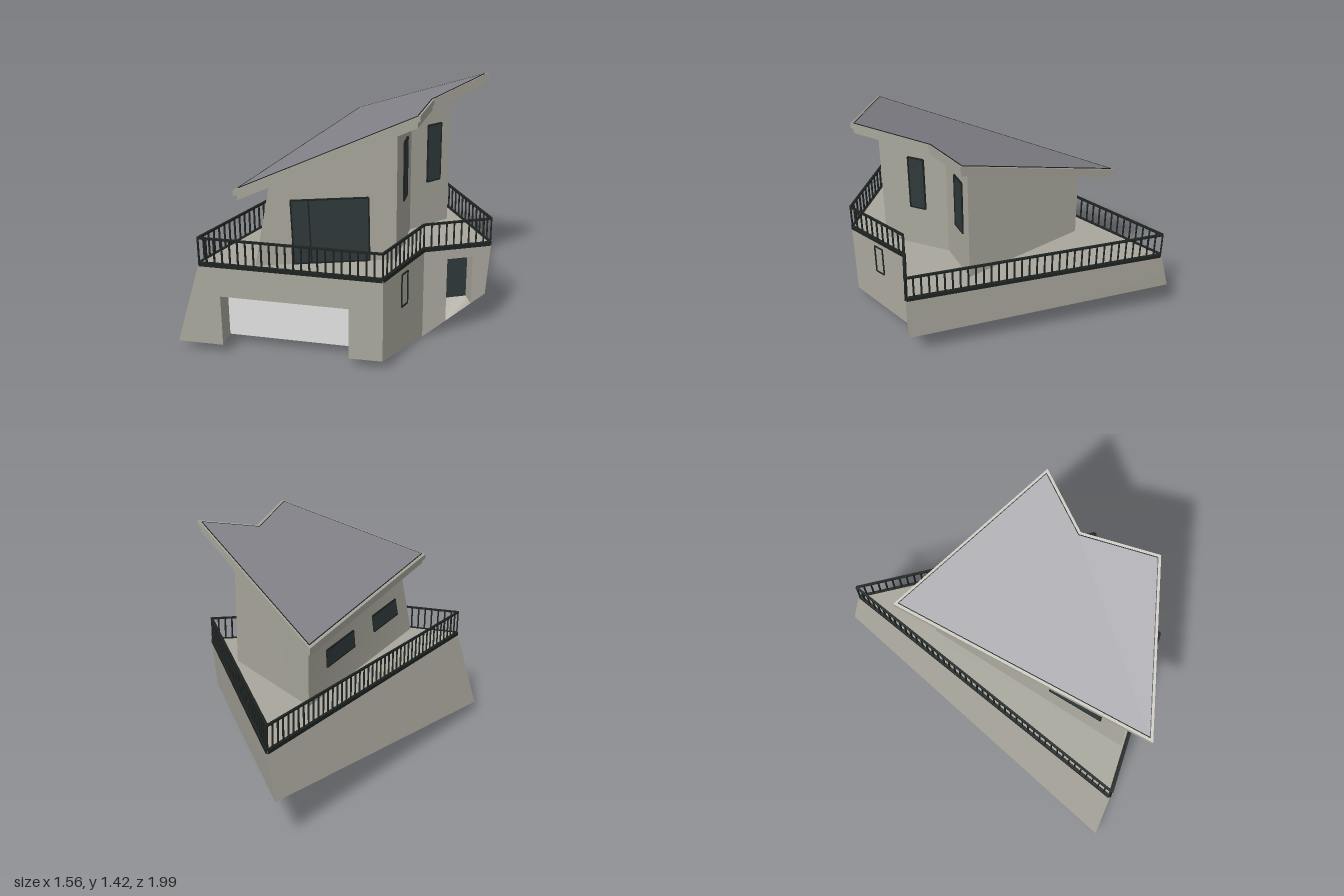
import * as THREE from 'three';
import { mergeGeometries } from 'three/addons/utils/BufferGeometryUtils.js';

const material = (name, color) => {
  const m = new THREE.MeshStandardMaterial({ color, side: THREE.DoubleSide });
  m.name = name;
  return m;
};
const V = (x, y, z) => new THREE.Vector3(x, y, z);
const lerp = THREE.MathUtils.lerp;

// Plan outlines [x, z], from front left round by the right side to the back
const DECK = [[-0.65, 0.905], [0.33, 0.8], [0.44, 0.39], [0.77, 0.2], [-0.16, -0.96]];
const ROOF = [[-0.385, 0.99], [0.465, 0.64], [0.43, 0.2], [0.66, -0.1], [-0.25, -0.62]];
const HOUSE = [[-0.35, 0.85], [0.33, 0.56], [0.3, 0.17], [0.465, -0.04], [-0.165, -0.43]];
const HOUSE_TOP = [[-0.265, 0.815], ...HOUSE.slice(1, 4), [-0.16, -0.43]];
const DECK_Y = 0.545, RAIL_Y = 0.685;
const roofY = (x, z) => 1.128 + 0.445 * x + 0.059 * z;

const inward = (a, b) => {
  const dx = b[0] - a[0], dz = b[1] - a[1], l = Math.hypot(dx, dz);
  return [dz / l, -dx / l];
};

// Outline moved inward by d
function inset(pts, d) {
  return pts.map((p, i) => {
    const m = inward(pts.at(i - 1), p), n = inward(p, pts[(i + 1) % pts.length]);
    const s = d / (1 + m[0] * n[0] + m[1] * n[1]);
    return [p[0] + (m[0] + n[0]) * s, p[1] + (m[1] + n[1]) * s];
  });
}

// Horizontal or sloping slab from a plan outline
function slab(pts, depth, yAt, hole) {
  const toV2 = (p) => new THREE.Vector2(p[0], -p[1]);
  const shape = new THREE.Shape(pts.map(toV2));
  if (hole) shape.holes.push(new THREE.Path(hole.map(toV2)));
  const g = new THREE.ExtrudeGeometry(shape, { depth, bevelEnabled: false });
  g.rotateX(-Math.PI / 2);
  const p = g.attributes.position;
  for (let i = 0; i < p.count; i++) p.setY(i, p.getY(i) + yAt(p.getX(i), p.getZ(i)));
  g.computeVertexNormals();
  return g;
}

// Upright wall on the plan line a-b, drawn as [fraction along, height]
function uprightWall(a, b, outline) {
  const g = new THREE.ShapeGeometry(new THREE.Shape(outline.map((p) => new THREE.Vector2(...p))));
  const p = g.attributes.position;
  for (let i = 0; i < p.count; i++) {
    const k = p.getX(i);
    p.setXYZ(i, lerp(a[0], b[0], k), p.getY(i), lerp(a[1], b[1], k));
  }
  g.computeVertexNormals();
  return g;
}

// Surface patch from a function of (u, v)
function surface(fn, n = 8) {
  const g = new THREE.PlaneGeometry(1, 1, n, n), p = g.attributes.position;
  for (let i = 0; i < p.count; i++) {
    const q = fn(p.getX(i) + 0.5, p.getY(i) + 0.5);
    p.setXYZ(i, q.x, q.y, q.z);
  }
  g.computeVertexNormals();
  return g;
}
const bilinear = (a, b, c, d) => (u, v) => a.clone().lerp(b, u).lerp(d.clone().lerp(c, u), v);
const quad = (a, b, c, d) => surface(bilinear(a, b, c, d), 1);

// Square bar between two points
function bar(a, b, w, h = w) {
  const g = new THREE.BoxGeometry(w, h, a.distanceTo(b));
  g.applyMatrix4(new THREE.Matrix4().lookAt(a, b, V(0, 1, 0)));
  const m = a.clone().add(b).multiplyScalar(0.5);
  return g.translate(m.x, m.y, m.z);
}
const frameBars = (c, w) => mergeGeometries(c.map((p, i) => bar(p, c[(i + 1) % c.length], w)));

export function createModel() {
  const wall = material('concrete', 0xa9a79c);
  const roofing = material('roof grey', 0x87868d);
  const glass = material('dark glass', 0x2f393b);
  const metal = material('black metal', 0x1d2321);
  const doorPaint = material('garage door grey', 0xe0e0e0);

  const model = new THREE.Group();
  model.name = 'house';
  const add = (name, geometry, mat, parent = model) => {
    const m = new THREE.Mesh(geometry, mat);
    m.name = name;
    parent.add(m);
    return m;
  };

  // Lower storey: open-bottomed shell on sloping ground
  const [A, B, C, D, E] = DECK, top = 0.53;
  const footA = V(-0.79, 0.06, 0.92), footD = V(0.75, 0.23, 0.211), footE = V(-0.22, 0.285, -1);
  const up = (p, y) => V(p[0], y, p[1]);
  add('garageWall', uprightWall(A, B, [[-0.143, 0.06], [0.112, 0.06], [0.112, 0.355], [0.816, 0.355],
    [0.816, 0.06], [1, 0.063], [1, top], [0, top]]), wall);
  add('lowerSideWall', uprightWall(B, C, [[0, 0.063], [1, 0], [1, top], [0, top]]), wall);
  add('entranceWall', uprightWall(C, D, [[0, 0], [0.348, 0.085], [0.348, 0.468], [0.727, 0.468],
    [0.727, 0.178], [0.94, 0.23], [1, top], [0, top]]), wall);
  add('lowerBackWall', quad(footD, footE, up(E, top), up(D, top)), wall);
  add('lowerLeftWall', quad(footE, footA, up(A, top), up(E, top)), wall);

  // Recessed openings: jambs, lintel, sill and door
  function recess(name, a, b, k0, k1, y0, y1, yTop, yBack, depth, mat) {
    const n = inward(a, b), g = new THREE.Group();
    const at = (k, y, d) => V(lerp(a[0], b[0], k) + n[0] * d, y, lerp(a[1], b[1], k) + n[1] * d);
    const back = [at(k0, yBack, depth), at(k1, yBack, depth), at(k1, yTop, depth), at(k0, yTop, depth)];
    const front = [at(k0, y0, 0), at(k1, y1, 0), at(k1, yTop, 0), at(k0, yTop, 0)];
    add(name + 'Panel', quad(...back), mat, g);
    add(name + 'LeftJamb', quad(front[0], back[0], back[3], front[3]), wall, g);
    add(name + 'RightJamb', quad(back[1], front[1], front[2], back[2]), wall, g);
    add(name + 'Lintel', quad(front[3], back[3], back[2], front[2]), wall, g);
    if (yBack > y0) add(name + 'Sill', quad(front[0], front[1], back[1], back[0]), wall, g);
    g.name = name;
    model.add(g);
  }
  recess('garageDoor', A, B, 0.112, 0.816, 0.06, 0.06, 0.355, 0.06, 0.12, doorPaint);
  recess('entranceDoor', C, D, 0.348, 0.727, 0.085, 0.178, 0.468, 0.18, 0.09, glass);

  // Narrow window frame on the lower side wall
  const onBC = (k, y) => V(lerp(B[0], C[0], k), y, lerp(B[1], C[1], k));
  add('lowerWindowFrame', frameBars([onBC(0.44, 0.3), onBC(0.585, 0.3), onBC(0.585, 0.49), onBC(0.44, 0.49)], 0.009), metal);

  // Terrace floor, edge trim and railing
  add('terraceFloor', slab(inset(DECK, 0.003), 0.015, () => 0.53, HOUSE), wall);
  const trim = [], rails = [], posts = [];
  const railLine = inset(DECK, 0.004);
  railLine.forEach((p, i) => {
    const q = railLine[(i + 1) % railLine.length];
    trim.push(bar(up(p, 0.537), up(q, 0.537), 0.018, 0.022));
    rails.push(bar(up(p, RAIL_Y), up(q, RAIL_Y), 0.014, 0.01));
    const count = Math.round(Math.hypot(q[0] - p[0], q[1] - p[1]) / 0.043);
    for (let j = 0; j < count; j++) {
      const x = lerp(p[0], q[0], j / count), z = lerp(p[1], q[1], j / count);
      posts.push(bar(V(x, DECK_Y, z), V(x, RAIL_Y, z), 0.008));
    }
  });
  add('terraceTrim', mergeGeometries(trim), metal);
  add('handrail', mergeGeometries(rails), metal);
  add('balusters', mergeGeometries(posts), metal);

  // Upper storey walls, rising to the sloping roof
  const walls = HOUSE.map((p, i) => {
    const j = (i + 1) % HOUSE.length;
    const topOf = (t) => V(t[0], roofY(...t) - 0.05, t[1]);
    return bilinear(up(p, 0.53), up(HOUSE[j], 0.53), topOf(HOUSE_TOP[j]), topOf(HOUSE_TOP[i]));
  });
  ['upperFrontWall', 'upperSideWall', 'upperEntranceWall', 'upperBackWall', 'upperLeftWall']
    .forEach((name, i) => add(name, surface(walls[i]), wall));

  // Point on an upper wall at fraction u and height y, pushed outward
  function onWall(i, u, y, out) {
    const low = walls[i](u, 0), high = walls[i](u, 1);
    const n = inward(HOUSE[i], HOUSE[(i + 1) % HOUSE.length]);
    return low.lerp(high, (y - low.y) / (high.y - low.y)).add(V(-n[0] * out, 0, -n[1] * out));
  }
  // Glazing: bottom u0, u1 and top u0, u1 follow the leaning walls
  function glazing(name, i, [a, b, c = a, d = b], y0, y1) {
    const at = (u, v, out) => onWall(i, lerp(lerp(a, c, v), lerp(b, d, v), u), lerp(y0, y1, v), out);
    add(name + 'Glass', surface((u, v) => at(u, v, 0.005)), glass);
    add(name + 'Frame', frameBars([at(0, 0, 0.004), at(1, 0, 0.004), at(1, 1, 0.004), at(0, 1, 0.004)], 0.008), metal);
  }
  glazing('terraceDoor', 0, [0.272, 0.809, 0.19, 0.787], 0.55, 0.905);
  add('terraceDoorMullion', bar(onWall(0, 0.397, 0.55, 0.005), onWall(0, 0.328, 0.905, 0.005), 0.008), metal);
  glazing('sideWindow', 1, [0.435, 0.665], 0.81, 1.14);
  glazing('entranceWindow', 2, [0.42, 0.76], 0.81, 1.14);
  glazing('leftBackWindow', 4, [0.16, 0.42], 0.7, 0.8);
  glazing('leftFrontWindow', 4, [0.62, 0.88], 0.7, 0.8);

  // Roof: stepped fascia with an inlaid covering
  add('roofLowerFascia', slab(inset(ROOF, 0.012), 0.032, (x, z) => roofY(x, z) - 0.06), wall);
  add('roofUpperFascia', slab(ROOF, 0.03, (x, z) => roofY(x, z) - 0.03), wall);
  add('roofCovering', slab(inset(ROOF, 0.016), 0.003, roofY), roofing);
  const edge = inset(ROOF, 0.016).map(([x, z]) => V(x, roofY(x, z) + 0.002, z));
  add('roofEdgeSeam', frameBars(edge, 0.004), metal);

  return model;
}
